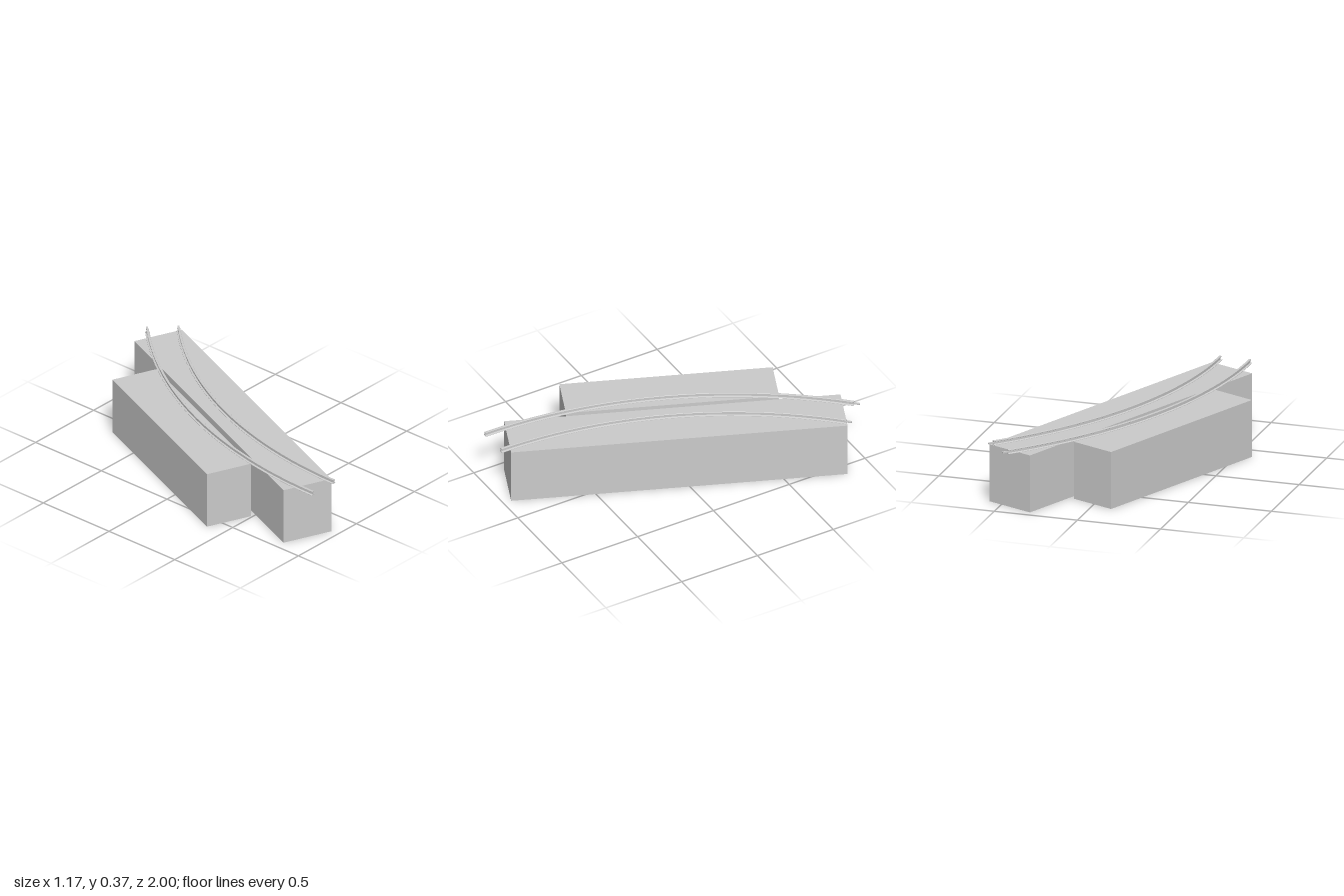
import * as THREE from 'three';
import { toCreasedNormals, mergeGeometries } from 'three/addons/utils/BufferGeometryUtils.js';

const material = new THREE.MeshStandardMaterial({ color: 0xcccccc, side: THREE.DoubleSide });
const CX = 2.447, CZ = 1;      // centre of the track curve
const DECK = 0.343;            // height of the platform tops
const RAIL_END = -Math.PI * 44.3 / 180;

// Box without a bottom, turned to follow the chord of the curve
function platform(name, width, length, x, z) {
  const geometry = new THREE.BoxGeometry(width, DECK, length);
  const index = Array.from(geometry.index.array);
  index.splice(18, 6);
  geometry.setIndex(index);
  geometry.clearGroups();
  const mesh = new THREE.Mesh(geometry, material);
  mesh.name = name;
  mesh.position.set(x, DECK / 2, z);
  mesh.rotation.y = -Math.PI / 8;
  return mesh;
}

// Sweep a closed profile of [radial offset, height] round the curve, with end caps.
// Angles run from 0 at the front to negative towards the back.
function sweep(name, radius, profile, from, to, segments) {
  const points = profile.map(([r, y]) => new THREE.Vector2(radius + r, y));
  const start = -Math.PI / 2 + to;
  const lathe = new THREE.LatheGeometry([...points, points[0]], segments, start, from - to);
  const caps = [start, start + from - to].map((phi) =>
    new THREE.ShapeGeometry(new THREE.Shape(points)).rotateY(phi - Math.PI / 2).toNonIndexed());
  const body = toCreasedNormals(lathe, 0.5);
  const mesh = new THREE.Mesh(mergeGeometries([body, ...caps]), material);
  mesh.name = name;
  mesh.position.set(CX, 0, CZ);
  return mesh;
}

export function createModel() {
  const model = new THREE.Group();
  model.name = 'curvedTrack';

  model.add(platform('mainPlatform', 0.303, 1.937, 0.07, -0.002));
  model.add(platform('sidePlatform', 0.28, 1.228, -0.225, -0.13));

  // Rail section: wide foot, thin web, rounded head
  const half = [
    [0.013, 0.345], [0.013, 0.347], [0.003, 0.350], [0.003, 0.361],
    [0.007, 0.363], [0.007, 0.368], [0.005, 0.370],
  ];
  const section = [...half, ...half.slice().reverse().map(([r, y]) => [-r, y])];
  // Joining tongue that sticks out of the back end of each rail
  const tongue = [[0.006, 0.353], [0.006, 0.361], [-0.006, 0.361], [-0.006, 0.353]];

  for (const [side, radius] of [['outer', 2.82], ['inner', 2.64]]) {
    model.add(sweep(side + 'Rail', radius, section, 0, RAIL_END, 24));
    model.add(sweep(side + 'RailTongue', radius, tongue, RAIL_END + 0.015, -Math.PI / 4, 2));
  }
  return model;
}
